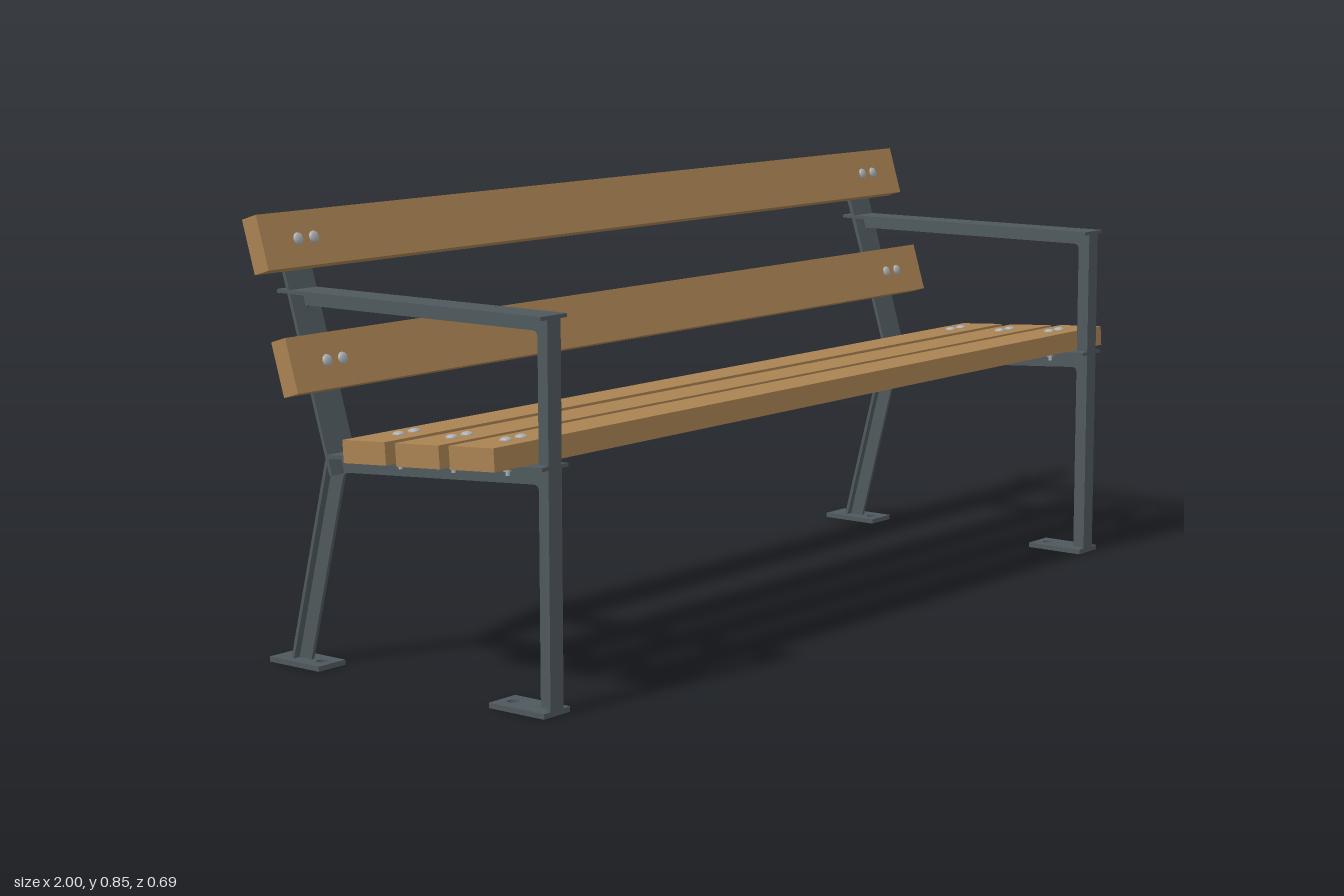
import * as THREE from 'three';

const wood = new THREE.MeshStandardMaterial({ color: 0xa98252 }); wood.name = 'wood';
const steel = new THREE.MeshStandardMaterial({ color: 0x4e585c }); steel.name = 'paintedSteel';
const zinc = new THREE.MeshStandardMaterial({ color: 0xa9adb0 }); zinc.name = 'boltMetal';

const FRAME_X = 0.89, WIDE = 0.07, NARROW = 0.035, T = 0.007;

function add(parent, name, geometry, material) {
  const mesh = new THREE.Mesh(geometry, material);
  mesh.name = name;
  parent.add(mesh);
  return mesh;
}

// Outline through [z, y, radius] points, rounding corners that have a radius
function outline(path, points) {
  const n = points.length;
  points.forEach(([z, y, r = 0], i) => {
    const p = new THREE.Vector2(z, y);
    const toward = ([a, b]) => new THREE.Vector2(a, b).sub(p).setLength(r).add(p);
    const a = r ? toward(points[(i + n - 1) % n]) : p;
    if (i === 0) path.moveTo(a.x, a.y); else path.lineTo(a.x, a.y);
    if (r) {
      const b = toward(points[(i + 1) % n]);
      path.quadraticCurveTo(p.x, p.y, b.x, b.y);
    }
  });
  path.closePath();
  return path;
}

// Flat flange whose outer face runs from a to b, both [z, y]
function flange(parent, name, a, b, width) {
  const dz = b[0] - a[0], dy = b[1] - a[1];
  const geometry = new THREE.BoxGeometry(width, T, Math.hypot(dz, dy)).translate(0, -T / 2, 0);
  const mesh = add(parent, name, geometry, steel);
  mesh.position.set(0, (a[1] + b[1]) / 2, (a[0] + b[0]) / 2);
  mesh.rotation.x = -Math.atan2(dy, dz);
}

// Foot plate with an anchor hole; side is +1 for front, -1 for rear
function footPlate(parent, name, side) {
  const shape = new THREE.Shape();
  outline(shape, [[-0.035, 0.213 * side], [0.035, 0.213 * side], [0.035, 0.343 * side], [-0.035, 0.343 * side]]);
  shape.holes.push(new THREE.Path().absarc(0, 0.24 * side, 0.011, 0, Math.PI * 2));
  const geometry = new THREE.ExtrudeGeometry(shape, { depth: 0.01, bevelEnabled: false, curveSegments: 8 });
  add(parent, name, geometry.rotateX(Math.PI / 2).translate(0, 0.01, 0), steel);
}

function createFrame() {
  const frame = new THREE.Group();

  // Thin web of all T-bars in one profile
  const web = outline(new THREE.Shape(), [
    [0.343, 0.005], [0.343, 0.71], [-0.27, 0.71], [-0.304, 0.823], [-0.336, 0.813],
    [-0.203, 0.398], [-0.304, 0.005], [-0.265, 0.005], [-0.169, 0.377, 0.012],
    [0.308, 0.409, 0.012], [0.308, 0.005],
  ]);
  web.holes.push(outline(new THREE.Path(), [
    [0.308, 0.444], [0.308, 0.68, 0.012], [-0.262, 0.68, 0.012], [-0.18, 0.413],
  ]));
  const geometry = new THREE.ExtrudeGeometry(web, { depth: T, bevelEnabled: false, curveSegments: 4 });
  add(frame, 'frameWeb', geometry.translate(0, 0, -T / 2).rotateY(-Math.PI / 2), steel);

  // Flanges
  flange(frame, 'armrest', [-0.302, 0.71], [0.343, 0.71], WIDE);
  flange(frame, 'seatRail', [-0.182, 0.413], [0.343, 0.447], WIDE);
  flange(frame, 'backPost', [-0.304, 0.823], [-0.168, 0.376], WIDE);
  flange(frame, 'frontLeg', [0.343, 0.71], [0.343, 0.005], NARROW);
  flange(frame, 'rearLeg', [-0.304, 0.005], [-0.203, 0.398], NARROW);

  footPlate(frame, 'frontFoot', 1);
  footPlate(frame, 'rearFoot', -1);
  return frame;
}

// Board with a pair of domed bolts and nuts at each frame
function createSlat(name, z, y, tilt, thickness, depth) {
  const slat = new THREE.Group();
  slat.name = name;
  add(slat, name + 'Board', new THREE.BoxGeometry(2, thickness, depth), wood);
  for (const side of [-1, 1]) for (const offset of [-0.02, 0.02]) {
    const x = side * FRAME_X + offset;
    const head = add(slat, 'boltHead', new THREE.SphereGeometry(0.012, 12, 4, 0, Math.PI * 2, 0, Math.PI / 2), zinc);
    head.scale.y = 0.5;
    head.position.set(x, thickness / 2, 0);
    const nut = add(slat, 'nut', new THREE.CylinderGeometry(0.008, 0.008, 0.006, 6), zinc);
    nut.position.set(x, -thickness / 2 - T - 0.003, 0);
    const tip = add(slat, 'boltTip', new THREE.CylinderGeometry(0.004, 0.004, 0.014, 8), zinc);
    tip.position.set(x, -thickness / 2 - T - 0.007, 0);
  }
  slat.position.set(0, y, z);
  slat.rotation.x = tilt;
  return slat;
}

export function createModel() {
  const bench = new THREE.Group();
  bench.name = 'bench';

  // Two steel end frames
  for (const side of [-1, 1]) {
    const frame = createFrame();
    frame.name = side > 0 ? 'leftFrame' : 'rightFrame';
    frame.position.x = side * FRAME_X;
    bench.add(frame);
  }

  // Three seat slats and two back slats
  for (const [z, y] of [[0.248, 0.463], [0.119, 0.454], [-0.011, 0.446]])
    bench.add(createSlat('seatSlat', z, y, -0.065, 0.042, 0.105));
  for (const [z, y] of [[-0.277, 0.799], [-0.208, 0.58]])
    bench.add(createSlat('backSlat', z, y, 1.275, 0.038, 0.104));

  return bench;
}
